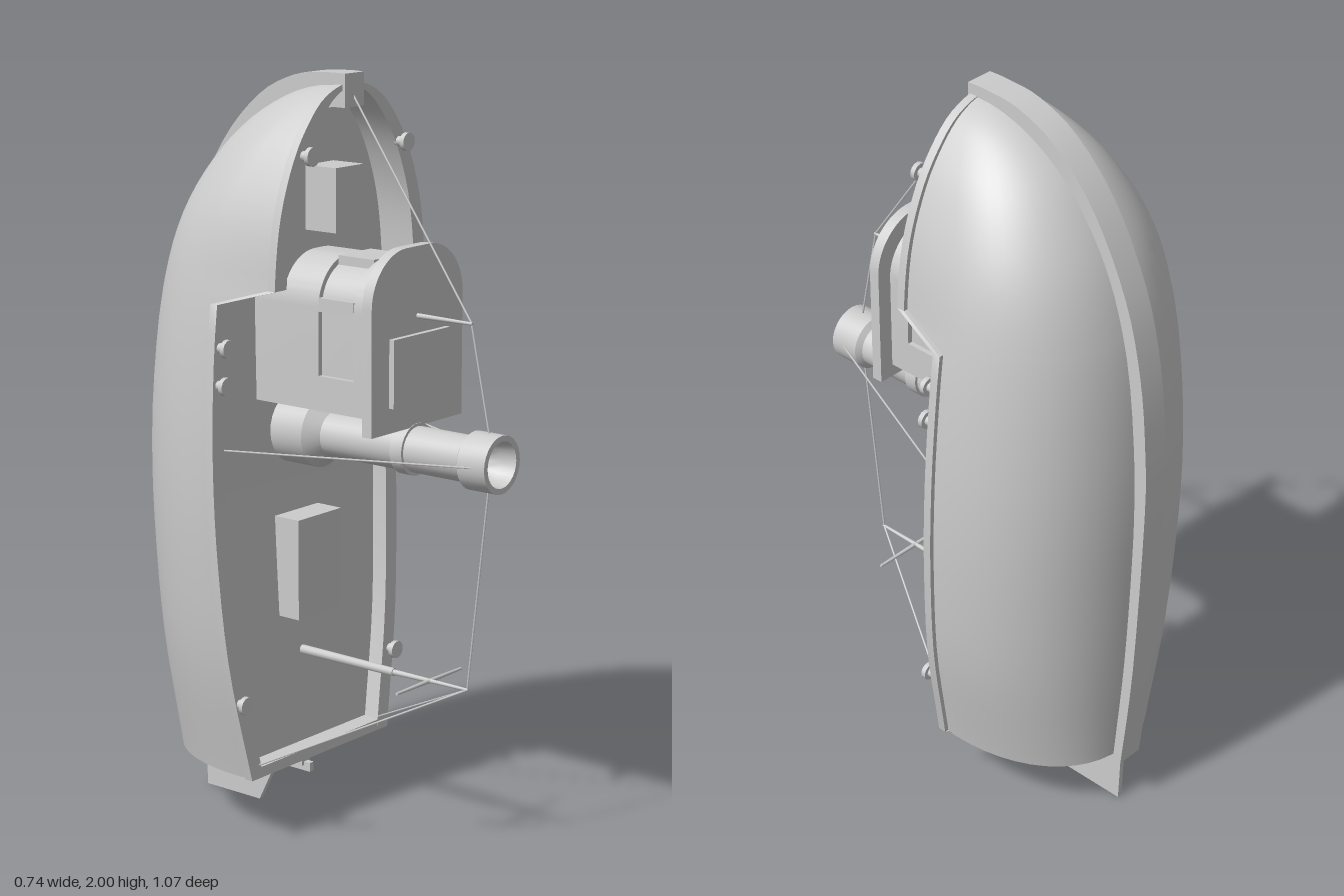
import * as THREE from 'three';
import { toCreasedNormals } from 'three/addons/utils/BufferGeometryUtils.js';

const material = new THREE.MeshStandardMaterial({ color: 0xcccccc, side: THREE.DoubleSide });
const { lerp, clamp } = THREE.MathUtils;

export function createModel() {
  const model = new THREE.Group();
  const add = (name, geometry, x = 0, y = 0, z = 0) => {
    const mesh = new THREE.Mesh(geometry, material);
    mesh.name = name;
    mesh.position.set(x, y, z);
    model.add(mesh);
    return mesh;
  };
  const box = (name, x, y0, y1, z0, z1) =>
    add(name, new THREE.BoxGeometry(2 * x, y1 - y0, z1 - z0), 0, (y0 + y1) / 2, (z0 + z1) / 2);
  // Tapered round bar between two points
  const bar = (name, a, b, r0, r1 = r0, sides = 6) => {
    const from = new THREE.Vector3(...a), to = new THREE.Vector3(...b);
    const dir = to.clone().sub(from);
    const mesh = add(name, new THREE.CylinderGeometry(r1, r0, dir.length(), sides));
    mesh.position.copy(from).add(to).multiplyScalar(0.5);
    mesh.quaternion.setFromUnitVectors(new THREE.Vector3(0, 1, 0), dir.normalize());
  };
  // Flat side profile in (z, y), given thickness across x
  const sideProfile = (name, points, thickness) => {
    const shape = new THREE.Shape(points.map(p => new THREE.Vector2(...p)));
    const g = new THREE.ExtrudeGeometry(shape, { depth: thickness, bevelEnabled: false });
    g.rotateY(-Math.PI / 2).translate(thickness / 2, 0, 0);
    add(name, toCreasedNormals(g, 0.5));
  };

  add('hull', hullGeometry());

  // Keel band: wraps from the transom along the bottom and over the bow
  const spline = pts => new THREE.SplineCurve(pts.map(p => new THREE.Vector2(...p))).getPoints(40).map(p => [p.x, p.y]);
  sideProfile('keelBand', [
    [-0.1, 0.185], [-0.15, 0.18],
    ...spline([[-0.48, 0.16], [-0.512, 0.5], [-0.532, 1], [-0.526, 1.2], [-0.503, 1.4], [-0.45, 1.6],
      [-0.345, 1.8], [-0.22, 1.93], [-0.1, 1.988], [0, 2], [0.064, 2]]),
    [0.064, 1.915], [0.03, 1.915],
    ...spline([[-0.1, 1.9], [-0.22, 1.8], [-0.36, 1.6], [-0.42, 1.4], [-0.45, 1], [-0.43, 0.5], [-0.42, 0.21]]),
    [-0.1, 0.21],
  ], 0.076);

  // Rudder and its bracket
  sideProfile('rudder', [[-0.2, 0.12], [-0.26, 0], [-0.45, 0], [-0.455, 0.145], [-0.2, 0.145]], 0.014);
  box('rudderMount', 0.034, 0.165, 0.183, -0.23, -0.1);
  box('rudderBracket', 0.016, 0.135, 0.17, -0.23, -0.1);
  box('rudderArm', 0.008, 0.12, 0.145, -0.23, -0.08);

  // Deck hatches
  box('aftHatch', 0.087, 0.57, 0.84, -0.15, -0.05);
  box('foreHatch', 0.056, 1.6, 1.765, -0.07, 0.05);

  // Wheelhouse with an arched outline
  const arch = (name, w, y0, y1, r, z0, z1) => {
    const s = new THREE.Shape();
    s.moveTo(-w, y0).lineTo(w, y0).lineTo(w, y1 - r);
    s.absarc(w - r, y1 - r, r, 0, Math.PI / 2, false);
    s.absarc(r - w, y1 - r, r, Math.PI / 2, Math.PI, false);
    s.closePath();
    const g = new THREE.ExtrudeGeometry(s, { depth: z1 - z0, bevelEnabled: false, curveSegments: 10 });
    add(name, toCreasedNormals(g, 0.5), 0, 0, z0);
  };
  arch('wheelhouseRear', 0.144, 1.16, 1.548, 0.125, -0.15, 0.066);
  arch('wheelhouseFront', 0.144, 1.16, 1.548, 0.125, 0.18, 0.245);
  // Recessed windows between sill, lintel and roof strip
  arch('windowCore', 0.13, 1.17, 1.534, 0.111, 0.06, 0.185);
  box('windowSill', 0.144, 1.16, 1.25, 0.066, 0.18);
  box('windowLintel', 0.144, 1.415, 1.45, 0.066, 0.18);
  box('roofStrip', 0.065, 1.52, 1.548, 0.066, 0.18);
  arch('wheelhouseFacade', 0.185, 1.125, 1.585, 0.14, 0.24, 0.27);
  box('facadePanel', 0.115, 1.19, 1.365, 0.27, 0.285);

  // Funnel, hollow at the tip
  const funnel = new THREE.LatheGeometry([[0.094, -0.15], [0.094, -0.035], [0.06, 0], [0.06, 0.235],
    [0.068, 0.235], [0.068, 0.272], [0.06, 0.272], [0.06, 0.44], [0.075, 0.452], [0.075, 0.536],
    [0.06, 0.536], [0.056, 0.49], [0.045, 0.46], [0.025, 0.445], [0, 0.44]].map(p => new THREE.Vector2(...p)), 28);
  funnel.rotateX(Math.PI / 2);
  add('funnel', toCreasedNormals(funnel, 0.5), 0, 1.065, 0);

  // Masts
  bar('foreMast', [0, 1.408, 0.27], [0, 1.408, 0.44], 0.007, 0.004, 8);
  bar('aftMastBase', [0, 0.458, -0.14], [0, 0.458, 0.2], 0.013, 0.011, 10);
  bar('aftMastTop', [0, 0.458, 0.2], [0, 0.46, 0.44], 0.008, 0.004, 8);

  // Rigging
  const rope = 0.0028;
  bar('foreStay', [0, 1.945, 0.06], [0, 1.41, 0.437], rope);
  bar('upperStay', [0, 1.41, 0.437], [0, 1.14, 0.495], rope);
  bar('lowerStay', [0, 0.99, 0.495], [0, 0.46, 0.437], rope);
  for (const s of [1, -1]) {
    bar('crossbar', [0, 0.458, 0.315], [s * 0.135, 0.458, 0.315], 0.006, 0.004, 8);
    bar('funnelStay', [s * 0.073, 1.065, 0.495], [s * 0.325, 1.065, -0.1], rope);
    bar('sternStay', [0, 0.46, 0.437], [s * 0.25, 0.215, -0.05], rope);
    // Bollards on the rail: position and top of the cap
    for (const [x, y, z] of [[0.33, 1.33, -0.067], [0.338, 1.235, -0.067], [0.31, 0.395, -0.033], [0.19, 1.81, 0.09]]) {
      bar('bollardStem', [s * x, y, z - 0.04], [s * x, y, z - 0.01], 0.013, 0.013, 12);
      bar('bollardCap', [s * x, y, z - 0.013], [s * x, y, z], 0.024, 0.024, 14);
    }
  }
  return model;
}

// Hull with bulwark, rail and deck: one closed section lofted from stern to bow
function hullGeometry() {
  // Points are (half width, height, keel z)
  const line = new THREE.CatmullRomCurve3([
    [0.274, 0.18, -0.458], [0.336, 0.5, -0.484], [0.36, 0.8, -0.497], [0.363, 1, -0.5], [0.355, 1.2, -0.491],
    [0.33, 1.45, -0.458], [0.29, 1.65, -0.394], [0.224, 1.8, -0.3], [0.167, 1.88, -0.22],
    [0.105, 1.94, -0.12], [0.045, 1.968, -0.03], [0.012, 1.974, 0.02],
  ].map(p => new THREE.Vector3(...p))).getPoints(300);
  const at = y => {
    const i = Math.max(1, line.findIndex(p => p.y >= y));
    return line[i - 1].clone().lerp(line[i], clamp((y - line[i - 1].y) / (line[i].y - line[i - 1].y), 0, 1));
  };

  const ys = [0.18, 0.208, 0.212];
  for (let i = 1; i < 16; i++) ys.push(lerp(0.212, 1.44, i / 16));
  ys.push(1.44, 1.472, 1.485);
  for (let i = 1; i <= 20; i++) ys.push(lerp(1.485, 1.973, Math.sin(i / 20 * Math.PI / 2)));

  const arcs = 24;
  const rings = ys.map(y => {
    const p = at(y);
    const aft = clamp((y - 0.18) / 1.26, 0, 1), step = clamp((y - 1.44) / 0.045, 0, 1);
    const bow = clamp((y - 1.485) / 0.488, 0, 1);
    // Rail top, deck and widest level; rail and deck step up at the bow
    const aftRail = lerp(-0.045, -0.1, 1 - (1 - aft) ** 1.8);
    const rail = lerp(aftRail, 0.057, step);
    const solid = y < 0.21 || y > 1.95;
    const deck = solid ? rail - 0.0005 : step === 1 ? -0.05 : aftRail - 0.045;
    const mid = lerp(aftRail - 0.05, 0.03, bow ** 2);
    const top = p.x * lerp(lerp(0.985, 0.89, step), 1, bow);
    const keel = Math.min(p.z, mid - 0.004);
    const inner = Math.max(top - 0.033, 0.001);
    const side = [[inner, deck], [inner, rail], [top + 0.012, rail], [top + 0.012, rail - 0.023], [top, rail - 0.023]];
    const ring = [...side];
    for (let i = 0; i <= arcs; i++) {
      const a = i / arcs * Math.PI, c = Math.cos(a);
      ring.push([Math.sign(c) * p.x * Math.abs(c) ** 0.93, mid + (keel - mid) * Math.sin(a) ** 0.93]);
    }
    side.reverse().forEach(([x, z]) => ring.push([-x, z]));
    return ring.map(([x, z]) => [x, y, z]);
  });

  const n = rings[0].length, index = [];
  for (let j = 0; j < rings.length - 1; j++) {
    for (let i = 0; i < n; i++) {
      const k = (i + 1) % n, a = j * n + i, b = j * n + k;
      index.push(a, b, a + n, b, b + n, a + n);
    }
  }
  // Transom and bow end caps
  const positions = rings.flat(2), last = (rings.length - 1) * n;
  positions.push(0, ys[0], -0.2, 0, ys[ys.length - 1], 0.04);
  for (let i = 0; i < n; i++) {
    const k = (i + 1) % n;
    index.push(last + n, k, i, last + n + 1, last + i, last + k);
  }
  const g = new THREE.BufferGeometry();
  g.setAttribute('position', new THREE.Float32BufferAttribute(positions, 3));
  g.setIndex(index);
  return toCreasedNormals(g, 0.6);
}
